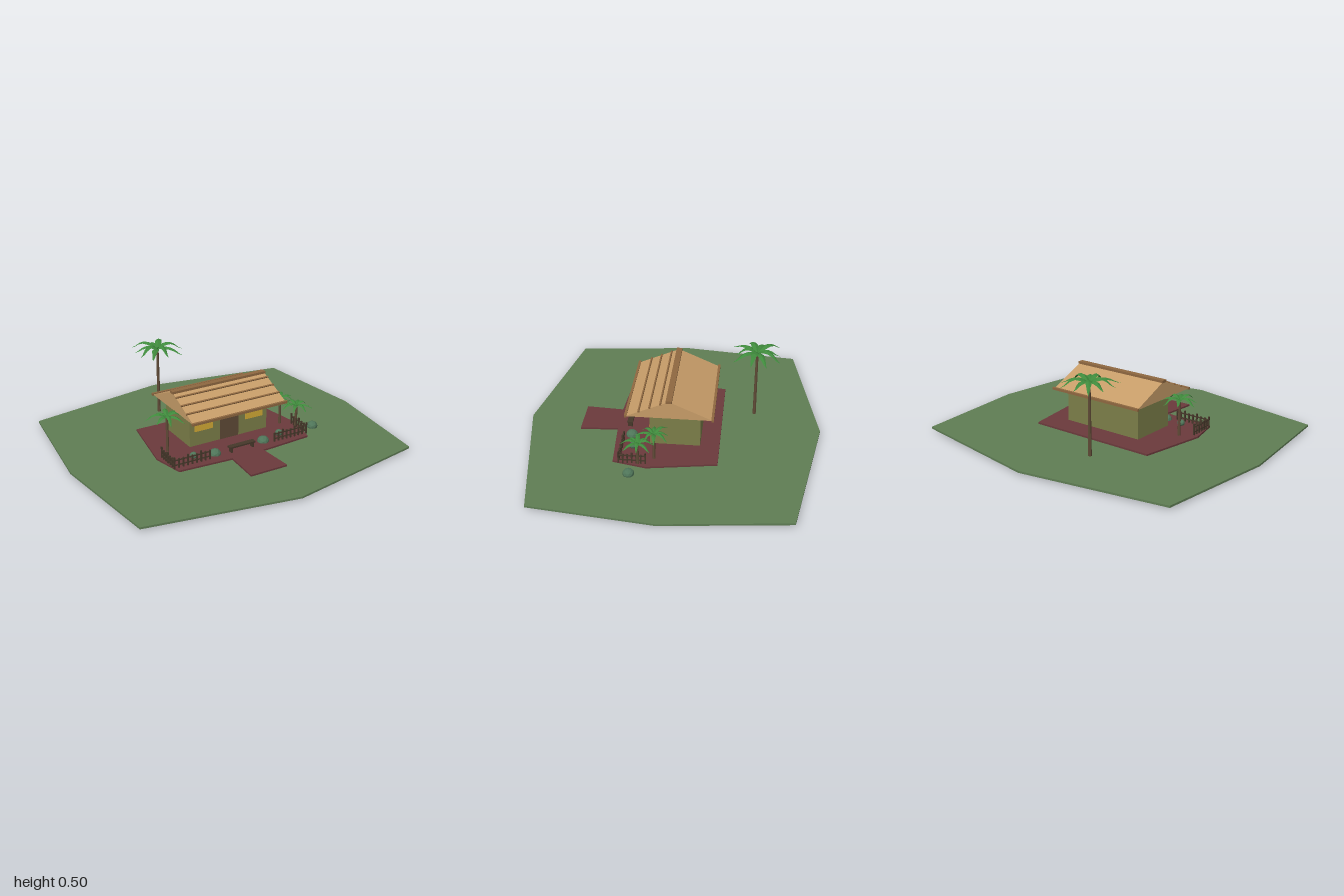
import * as THREE from 'three';
import { mergeGeometries } from 'three/addons/utils/BufferGeometryUtils.js';

const mat = (name, color) => {
  const m = new THREE.MeshStandardMaterial({ color });
  m.name = name;
  return m;
};

// Faceted normals
function flat(geo) {
  const g = geo.index ? geo.toNonIndexed() : geo;
  g.computeVertexNormals();
  return g;
}

// Horizontal slab from an outline of [x, z] points
function slab(points, y0, y1) {
  const shape = new THREE.Shape(points.map(([x, z]) => new THREE.Vector2(x, -z)));
  return new THREE.ExtrudeGeometry(shape, { depth: y1 - y0, bevelEnabled: false })
    .rotateX(-Math.PI / 2).translate(0, y0, 0);
}

const box = (w, h, d, x, y, z) => new THREE.BoxGeometry(w, h, d).translate(x, y, z);

// One palm frond along +x: a folded blade that rises, then droops
function frond(length, width, rise, droop) {
  const n = 6, pos = [], idx = [];
  const profile = [0.2, 0.8, 1, 0.85, 0.6, 0.32, 0];
  for (let i = 0; i <= n; i++) {
    const t = i / n, w = width * profile[i] / 2;
    const y = rise * Math.sin(Math.PI * Math.min(1, t * 1.1)) - droop * t * t;
    pos.push(length * t, y - w * 0.5, -w, length * t, y, 0, length * t, y - w * 0.5, w);
    if (i < n) {
      const a = i * 3;
      for (const k of [a, a + 1]) idx.push(k, k + 1, k + 3, k + 1, k + 4, k + 3);
    }
  }
  const g = new THREE.BufferGeometry();
  g.setAttribute('position', new THREE.Float32BufferAttribute(pos, 3));
  g.setIndex(idx);
  return flat(g);
}

export function createModel() {
  const root = new THREE.Group();
  root.name = 'beachHouse';
  const M = {
    grass: mat('grass', 0x5f7d54),
    paving: mat('maroon paving', 0x6b3a3c),
    wall: mat('olive wall', 0x7c7e49),
    thatch: mat('tan roof', 0xc69c68),
    beam: mat('roof beam', 0x8f6840),
    door: mat('door brown', 0x5f4a36),
    glass: mat('yellow window', 0xd2a935),
    timber: mat('dark timber', 0x46382a),
    leaf: mat('palm green', 0x3f8a3c),
    bush: mat('bush green', 0x4f7559),
  };
  M.leaf.side = THREE.DoubleSide;
  const add = (name, geo, material, parent = root) => {
    const m = new THREE.Mesh(geo, material);
    m.name = name;
    parent.add(m);
    return m;
  };

  // Lawn and paved yard with front path
  add('lawn', slab([[0, -0.915], [-0.915, -0.755], [-1, 0], [-0.915, 0.745], [0, 0.912],
    [0.915, 0.745], [1, 0], [0.915, -0.755]], 0.012, 0.024), M.grass);
  add('yard', slab([[-0.43, -0.3], [-0.5, 0.12], [-0.455, 0.322], [-0.11, 0.345], [-0.125, 0.577],
    [0.125, 0.577], [0.11, 0.345], [0.455, 0.322], [0.5, 0.12], [0.43, -0.3]], 0.024, 0.035), M.paving);

  // House body, door and windows
  const house = new THREE.Group();
  house.name = 'house';
  root.add(house);
  add('walls', box(0.55, 0.23, 0.305, 0, 0.168, -0.032), M.wall, house);
  add('door', box(0.13, 0.19, 0.008, 0, 0.15, 0.122), M.door, house);
  for (const s of [-1, 1]) add('window', box(0.125, 0.08, 0.008, s * 0.18, 0.187, 0.122), M.glass, house);

  // Gabled roof
  const eaveY = 0.268, ridgeY = 0.382, half = 0.262;
  const gable = new THREE.Shape([new THREE.Vector2(-half, eaveY), new THREE.Vector2(half, eaveY),
    new THREE.Vector2(0, ridgeY)]);
  add('roof', new THREE.ExtrudeGeometry(gable, { depth: 0.65, bevelEnabled: false })
    .translate(0, 0, -0.325).rotateY(Math.PI / 2), M.thatch, house);

  // Ridge, eave beams and the battens on the front slope
  add('ridgeBeam', box(0.66, 0.016, 0.036, 0, 0.381, 0), M.beam, house);
  for (const s of [-1, 1]) add('eaveBeam', box(0.666, 0.015, 0.015, 0, 0.271, s * 0.259), M.beam, house);
  const slope = Math.atan2(ridgeY - eaveY, half);
  for (const z of [0.05, 0.115, 0.18]) {
    const y = ridgeY - z * (ridgeY - eaveY) / half;
    add('roofBatten', new THREE.BoxGeometry(0.655, 0.01, 0.01).rotateX(slope).translate(0, y + 0.002, z), M.beam, house);
  }

  // Bench before the door
  const bench = new THREE.Group();
  bench.name = 'bench';
  root.add(bench);
  add('seat', box(0.18, 0.01, 0.035, 0, 0.069, 0.27), M.timber, bench);
  for (const x of [-0.075, 0.075]) add('benchLeg', box(0.01, 0.03, 0.03, x, 0.05, 0.27), M.timber, bench);

  // Picket fence: a front run and a side run at each corner
  const fenceRun = (x0, z0, x1, z1, count) => {
    const parts = [], len = Math.hypot(x1 - x0, z1 - z0), alongX = x0 !== x1;
    for (let i = 0; i <= count; i++) {
      const t = i / count, h = i % 3 === 0 ? 0.074 : 0.062;
      parts.push(box(0.009, h, 0.009, x0 + (x1 - x0) * t, 0.033 + h / 2, z0 + (z1 - z0) * t));
    }
    for (const y of [0.055, 0.086]) {
      parts.push(box(alongX ? len : 0.006, 0.007, alongX ? 0.006 : len, (x0 + x1) / 2, y, (z0 + z1) / 2));
    }
    add('fence', mergeGeometries(parts), M.timber);
  };
  for (const s of [-1, 1]) {
    fenceRun(s * 0.467, 0.286, s * 0.23, 0.286, 8);
    fenceRun(s * 0.467, 0.286, s * 0.467, 0.125, 6);
  }

  // Bushes: [x, y, z, radius]
  for (const [x, y, z, r] of [[-0.172, 0.036, 0.245, 0.038], [0.172, 0.036, 0.245, 0.038],
    [-0.305, 0.05, 0.22, 0.024], [0.305, 0.05, 0.22, 0.024], [0.567, 0.032, 0.212, 0.035]]) {
    add('bush', flat(new THREE.IcosahedronGeometry(r, 1).scale(1, 0.9, 1).translate(x, y, z)), M.bush);
  }

  // Palms: [x, z, crown height, frond length, fronds, trunk radius, turn]
  const palm = (x, z, top, len, count, r, turn) => {
    const g = new THREE.Group();
    g.name = 'palm';
    g.position.set(x, 0, z);
    root.add(g);
    const h = top - 0.02;
    add('palmTrunk', flat(new THREE.CylinderGeometry(r * 0.75, r, h, 7).translate(0, 0.02 + h / 2, 0)), M.door, g);
    const blades = [];
    for (let i = 0; i < count; i++) {
      const k = 0.86 + 0.14 * Math.sin(i * 2.4 + turn);
      blades.push(frond(len * k, len * 0.23, len * (0.14 + 0.08 * (i % 2)), len * 0.1)
        .rotateY(turn + i / count * Math.PI * 2 + 0.12 * Math.sin(i * 3.1)).translate(0, top, 0));
    }
    add('palmFronds', mergeGeometries(blades), M.leaf, g);
  };
  palm(-0.168, -0.5, 0.468, 0.19, 10, 0.011, 0.35);
  palm(-0.398, 0.065, 0.262, 0.14, 8, 0.01, 0.5);
  palm(0.405, 0.08, 0.208, 0.12, 8, 0.01, 0.1);
  palm(0.468, 0.17, 0.18, 0.12, 8, 0.01, 0.8);

  return root;
}
